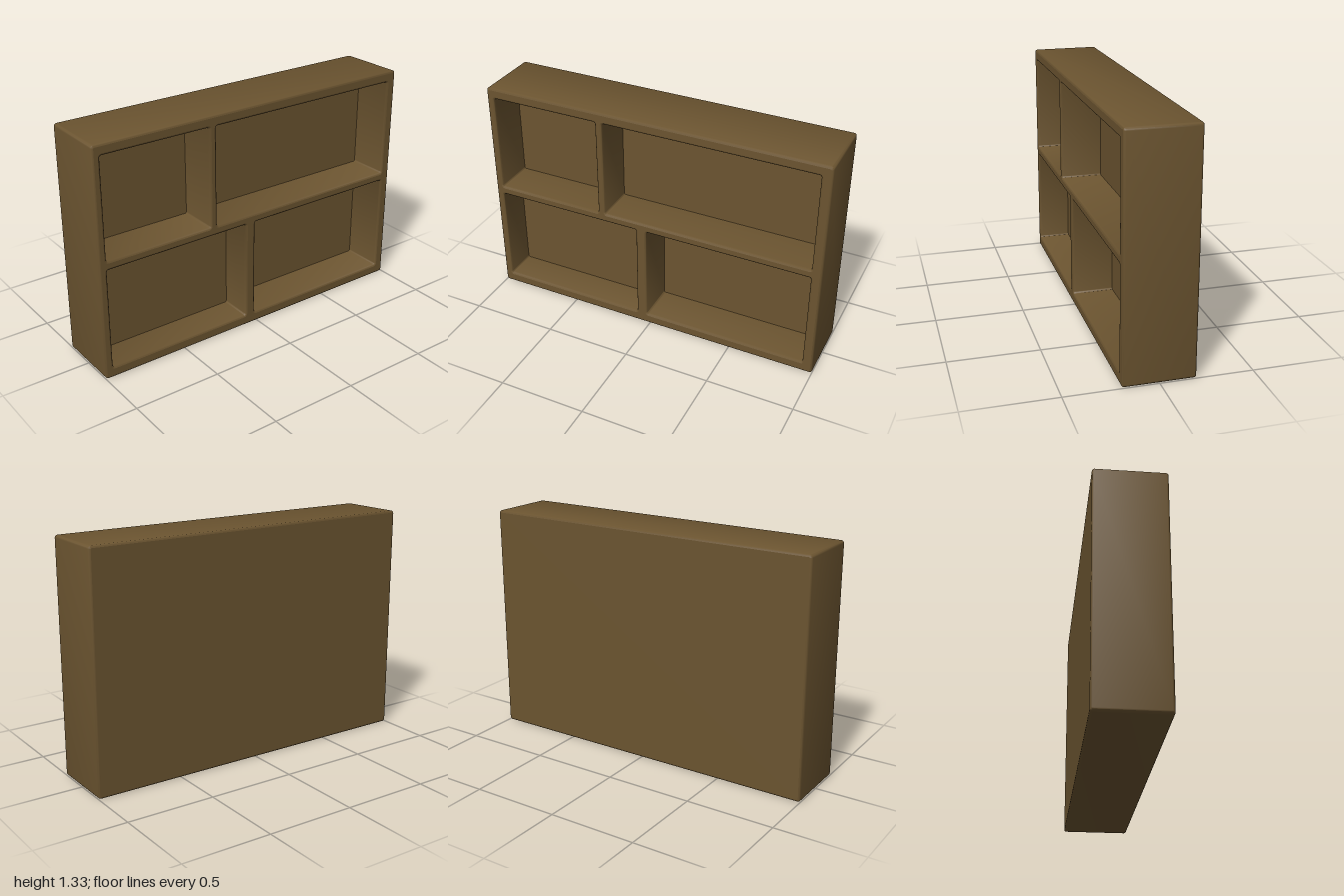
import * as THREE from 'three';
import { toCreasedNormals } from 'three/addons/utils/BufferGeometryUtils.js';

const HEIGHT = 1.325, FRONT = 0.195, BACK = -0.195, BEVEL = 0.012;
const CORNER_STEPS = 4, BEVEL_STEPS = 3;

// Counter-clockwise rounded rectangle, grown outwards by `grow`
function ring([x0, x1, y0, y1], grow, radius) {
  const r = Math.max(radius + grow, 0.002);
  const centres = [
    [x1 + grow - r, y1 + grow - r], [x0 - grow + r, y1 + grow - r],
    [x0 - grow + r, y0 - grow + r], [x1 + grow - r, y0 - grow + r],
  ];
  const points = [];
  centres.forEach(([cx, cy], corner) => {
    for (let i = 0; i <= CORNER_STEPS; i++) {
      const a = (corner + i / CORNER_STEPS) * Math.PI / 2;
      points.push(new THREE.Vector2(cx + r * Math.cos(a), cy + r * Math.sin(a)));
    }
  });
  return points;
}

// Skin between successive rings, each given as { points, z }
function loft(rings) {
  const positions = [];
  for (let k = 0; k + 1 < rings.length; k++) {
    const p = rings[k], q = rings[k + 1], n = p.points.length;
    for (let i = 0; i < n; i++) {
      const j = (i + 1) % n;
      const a = [p.points[i].x, p.points[i].y, p.z], b = [p.points[j].x, p.points[j].y, p.z];
      const c = [q.points[j].x, q.points[j].y, q.z], d = [q.points[i].x, q.points[i].y, q.z];
      positions.push(...a, ...b, ...c, ...a, ...c, ...d);
    }
  }
  const geometry = new THREE.BufferGeometry();
  geometry.setAttribute('position', new THREE.Float32BufferAttribute(positions, 3));
  return toCreasedNormals(geometry, Math.PI / 4);
}

export function createModel() {
  const model = new THREE.Group();
  model.name = 'cubbyShelf';
  const wood = new THREE.MeshStandardMaterial({ color: 0x6b5430 });

  const add = (name, geometry, z = 0, parent = model) => {
    const mesh = new THREE.Mesh(geometry, wood);
    mesh.name = name;
    mesh.position.z = z;
    parent.add(mesh);
    return mesh;
  };

  // Outer case with rounded front and back edges
  const outline = [-1, 1, 0, HEIGHT], radius = 0.016;
  const sides = [];
  for (const front of [false, true]) {
    for (let i = 0; i <= BEVEL_STEPS; i++) {
      const a = (front ? i : BEVEL_STEPS - i) / BEVEL_STEPS * Math.PI / 2;
      const inset = BEVEL * (1 - Math.cos(a)), dip = BEVEL * (1 - Math.sin(a));
      sides.push({ points: ring(outline, -inset, radius), z: front ? FRONT - dip : BACK + dip });
    }
  }
  add('caseSides', loft(sides));
  const panel = ring(outline, -BEVEL, radius);
  add('backPanel', new THREE.ShapeGeometry(new THREE.Shape(panel)), BACK).rotation.y = Math.PI;

  // Compartments: opening [x0, x1, y0, y1] and depth
  const compartments = [
    ['upperRightCompartment', [-0.955, -0.318, 0.692, 1.263], 0.235],
    ['upperLeftCompartment', [-0.275, 0.94, 0.692, 1.263], 0.235],
    ['lowerRightCompartment', [-0.955, -0.082, 0.062, 0.641], 0.19],
    ['lowerLeftCompartment', [-0.018, 0.94, 0.062, 0.641], 0.235],
  ];
  const face = new THREE.Shape(panel);
  for (const [name, opening, depth] of compartments) {
    const part = new THREE.Group();
    part.name = name;
    model.add(part);

    // Rounded rim, then straight walls down to the recessed panel
    const walls = [];
    for (let i = 0; i <= BEVEL_STEPS; i++) {
      const a = i / BEVEL_STEPS * Math.PI / 2;
      walls.push({
        points: ring(opening, BEVEL * (1 - Math.sin(a)), 0.01),
        z: FRONT - BEVEL * (1 - Math.cos(a)),
      });
    }
    const floor = ring(opening, 0, 0.01);
    walls.push({ points: floor, z: FRONT - depth });
    add('compartmentWalls', loft(walls), 0, part);
    add('compartmentBack', new THREE.ShapeGeometry(new THREE.Shape(floor)), FRONT - depth, part);
    face.holes.push(new THREE.Path(ring(opening, BEVEL, 0.01)));
  }

  // Flat front of the frame, shelf and dividers
  add('frontFrame', new THREE.ShapeGeometry(face), FRONT);
  return model;
}
